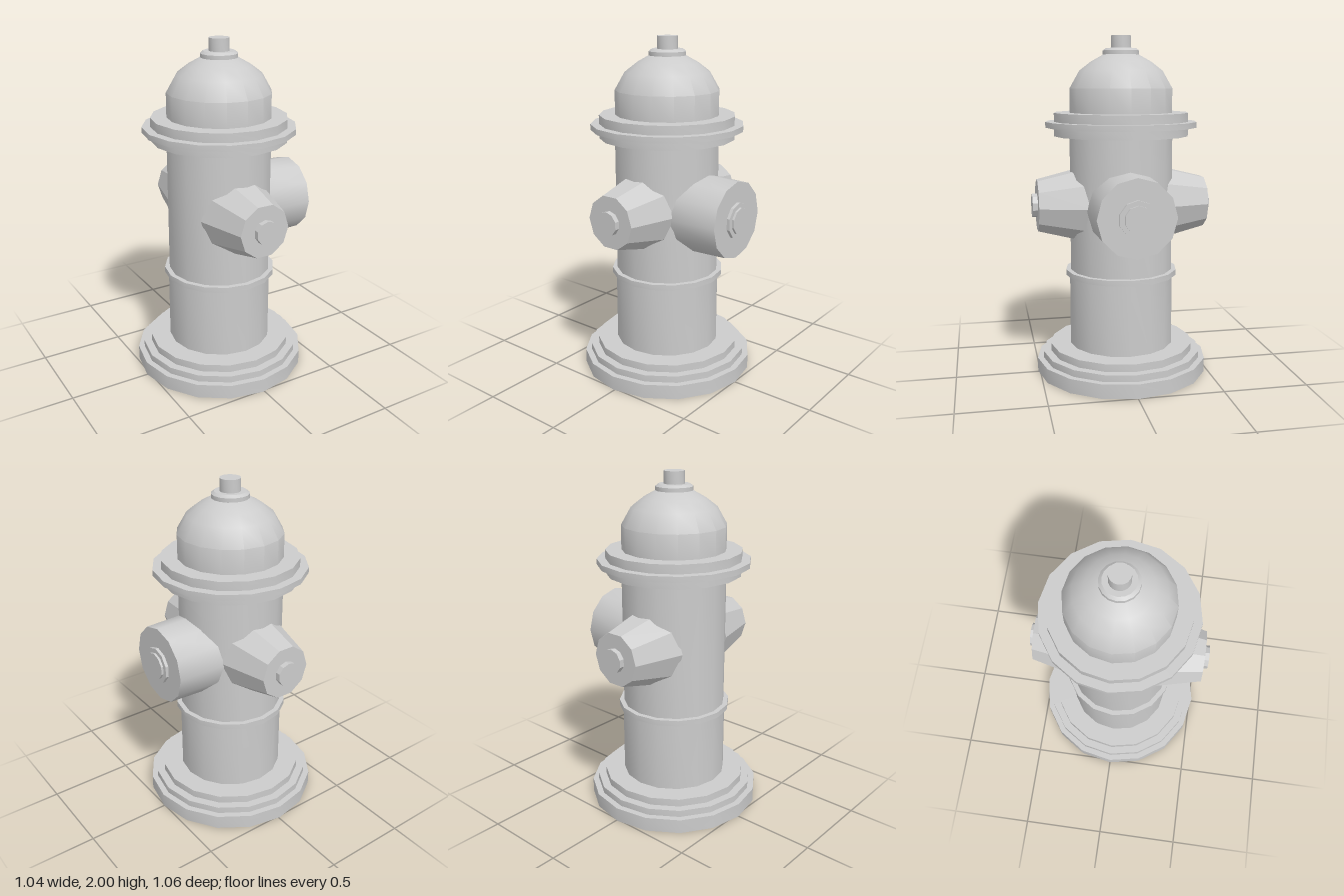
import * as THREE from 'three';
import { toCreasedNormals } from 'three/addons/utils/BufferGeometryUtils.js';

export function createModel() {
  const group = new THREE.Group();
  const smooth = new THREE.MeshStandardMaterial({ color: 0xcccccc });
  const flat = new THREE.MeshStandardMaterial({ color: 0xcccccc, flatShading: true });

  // Turned part from a bottom-to-top profile of [radius, height]
  function turned(name, profile) {
    const points = profile.map(([r, y]) => new THREE.Vector2(r, y));
    const mesh = new THREE.Mesh(toCreasedNormals(new THREE.LatheGeometry(points, 16), 0.6), smooth);
    mesh.name = name;
    mesh.position.x = -0.008;
    group.add(mesh);
  }

  turned('base', [[0, 0], [0.513, 0], [0.513, 0.085], [0.477, 0.085], [0.477, 0.125],
    [0.43, 0.125], [0.43, 0.17], [0.3, 0.17]]);
  turned('lowerBarrel', [[0.311, 0.16], [0.311, 0.6]]);
  turned('barrelRing', [[0.3, 0.595], [0.334, 0.595], [0.334, 0.628], [0.3, 0.628]]);
  turned('upperBarrel', [[0.305, 0.62], [0.305, 1.43]]);
  turned('flange', [[0.29, 1.425], [0.395, 1.425], [0.395, 1.475], [0.445, 1.475],
    [0.445, 1.508], [0.395, 1.508], [0.395, 1.56], [0.28, 1.56]]);
  turned('dome', [[0.302, 1.55], [0.302, 1.7], [0.245, 1.8], [0.18, 1.85], [0.105, 1.892], [0, 1.9]]);
  turned('topCollar', [[0.08, 1.892], [0.107, 1.892], [0.107, 1.915], [0.09, 1.928], [0, 1.928]]);
  turned('topNut', [[0.059, 1.925], [0.059, 2], [0, 2]]);

  // Stub along local +z, from z0 to z1, with a corner or a flat on top
  function stub(name, parent, r0, r1, z0, z1, sides, turn, isSmooth) {
    let geo = new THREE.CylinderGeometry(r1, r0, z1 - z0, sides);
    geo.rotateY(turn).rotateX(Math.PI / 2).translate(0, 0, (z0 + z1) / 2);
    if (isSmooth) geo = toCreasedNormals(geo, 0.6);
    const mesh = new THREE.Mesh(geo, isSmooth ? smooth : flat);
    mesh.name = name;
    parent.add(mesh);
  }

  // Small tapered outlets, front and back
  for (const side of [1, -1]) {
    const outlet = new THREE.Group();
    outlet.name = side > 0 ? 'frontOutlet' : 'backOutlet';
    stub('outletCap', outlet, 0.23, 0.155, 0.2, 0.5, 10, Math.PI / 10, false);
    stub('outletNut', outlet, 0.069, 0.069, 0.49, 0.53, 10, 0, false);
    outlet.position.set(-0.015, 1.022, 0);
    if (side < 0) outlet.rotation.y = Math.PI;
    group.add(outlet);
  }

  // Large outlet on the left side
  const large = new THREE.Group();
  large.name = 'largeOutlet';
  stub('largeOutletCap', large, 0.233, 0.223, 0.15, 0.488, 12, 0, true);
  stub('largeOutletCollar', large, 0.105, 0.105, 0.48, 0.506, 10, 0, false);
  stub('largeOutletNut', large, 0.078, 0.078, 0.5, 0.519, 10, 0, false);
  large.position.set(0, 1.012, 0.004);
  large.rotation.y = Math.PI / 2;
  group.add(large);

  return group;
}
